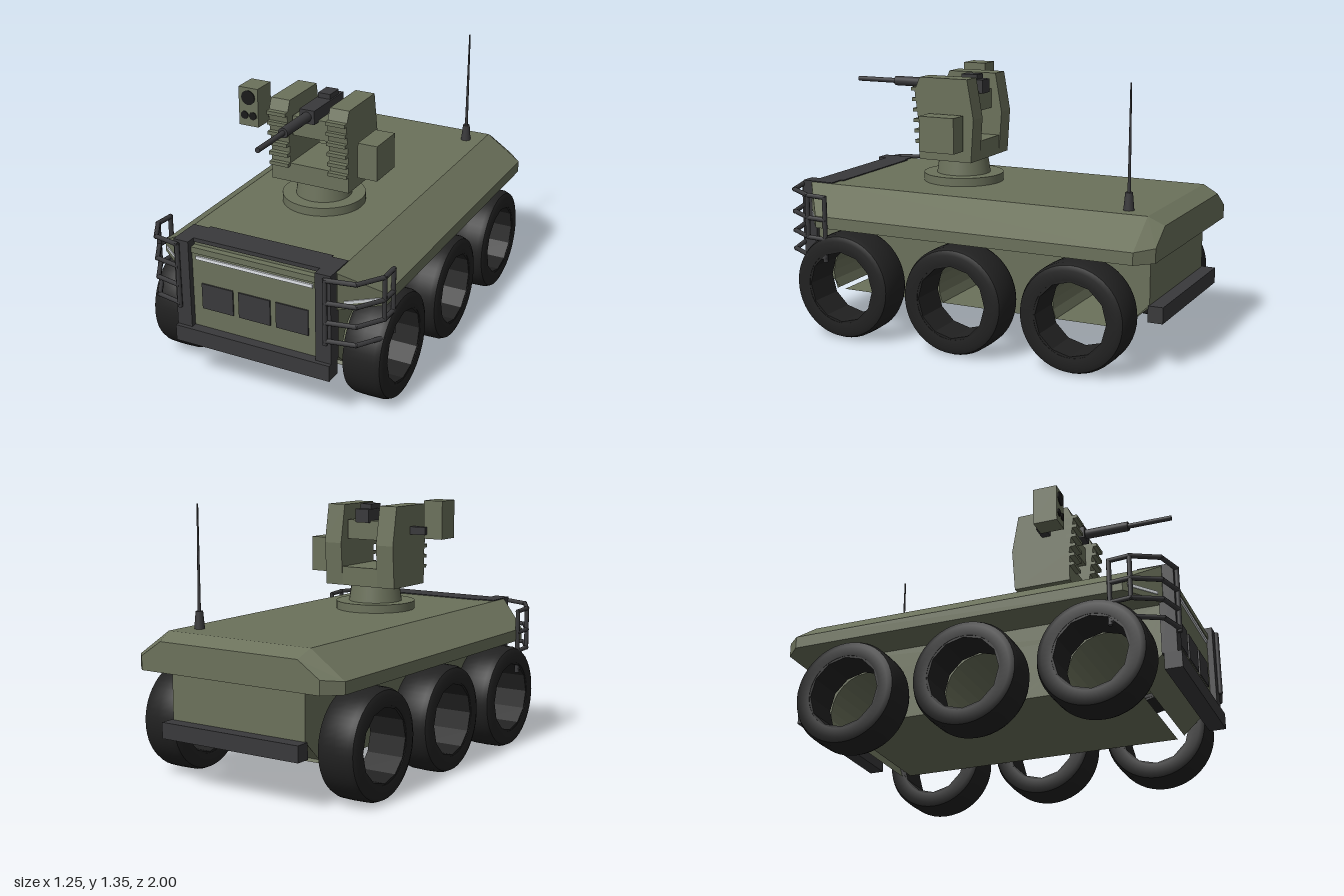
import * as THREE from 'three';
import { toCreasedNormals } from 'three/addons/utils/BufferGeometryUtils.js';

const mat = (name, color) => new THREE.MeshStandardMaterial({ name, color });

export function createModel() {
  const green = mat('olive green', 0x6b715b);
  const belly = mat('belly green', 0x6b715b);
  belly.side = THREE.DoubleSide;
  const dark = mat('dark grey', 0x39393b);
  const rubber = mat('tyre rubber', 0x212121);
  const black = mat('lens black', 0x1a1a1a);
  const lamp = mat('lamp glass', 0xe0e4e8);
  const model = new THREE.Group();

  const add = (name, geo, material, x = 0, y = 0, z = 0, parent = model) => {
    const m = new THREE.Mesh(geo, material);
    m.name = name;
    m.position.set(x, y, z);
    parent.add(m);
    return m;
  };
  // Box given by its minimum and maximum on each axis
  const box = (name, material, x0, x1, y0, y1, z0, z1) =>
    add(name, new THREE.BoxGeometry(x1 - x0, y1 - y0, z1 - z0), material,
      (x0 + x1) / 2, (y0 + y1) / 2, (z0 + z1) / 2);
  // Side profile of [z, y] points, extruded from x0 to x1
  const sideExtrude = (name, material, pts, x0, x1) => {
    const shape = new THREE.Shape(pts.map(([z, y]) => new THREE.Vector2(-z, y)));
    const geo = new THREE.ExtrudeGeometry(shape, { depth: x1 - x0, bevelEnabled: false });
    geo.rotateY(Math.PI / 2);
    return add(name, geo, material, x0);
  };
  // Cylinder along z from z0 to z1
  const rod = (name, material, r, x, y, z0, z1) =>
    add(name, new THREE.CylinderGeometry(r, r, z1 - z0, 20).rotateX(Math.PI / 2), material, x, y, (z0 + z1) / 2);

  // Lower hull with a round axle opening behind each wheel, closed below by a belly plate
  const axles = [-0.625, 0, 0.625], axleY = 0.272, bottom = 0.19, archR = 0.19;
  const startAngle = Math.asin((bottom - axleY) / archR);
  const hullProfile = [[0.72, 0.19], [0.92, 0.33], [0.92, 0.57], [-0.93, 0.57], [-0.93, 0.32], [-0.765, 0.21]];
  for (const z of axles)
    for (let i = 0; i <= 16; i++) {
      const a = Math.PI - startAngle + (2 * startAngle - Math.PI) * (i / 16);
      hullProfile.push([z + archR * Math.cos(a), axleY + archR * Math.sin(a)]);
    }
  // The rear and front openings run into the sloping ends, so the slopes start at their edges
  hullProfile[0] = [0.785, 0.205];
  hullProfile[5] = [-0.79, 0.205];
  sideExtrude('lowerHull', green, hullProfile, -0.39, 0.39);
  add('bellyPlate', new THREE.PlaneGeometry(0.78, 1.5).rotateX(Math.PI / 2), belly, 0, bottom, 0);

  // Upper hull lofted through sections: z, half width, shoulder height, deck half width, deck height
  const sections = [[-1, 0.52, 0.63, 0.4, 0.71], [-0.92, 0.6, 0.62, 0.415, 0.75],
    [0.78, 0.6, 0.62, 0.415, 0.75], [0.92, 0.42, 0.745, 0.415, 0.75]]
    .map(([z, w, s, t, y]) => [[-w, 0.56], [w, 0.56], [w, s], [t, y], [-t, y], [-w, s]]
      .map(([px, py]) => [px, py, z]));
  const pos = [];
  const tri = (a, b, c) => pos.push(...a, ...b, ...c);
  for (let i = 0; i < sections.length - 1; i++) {
    const A = sections[i], B = sections[i + 1];
    for (let j = 0; j < 6; j++) {
      const k = (j + 1) % 6;
      tri(A[j], A[k], B[k]);
      tri(A[j], B[k], B[j]);
    }
  }
  const rear = sections[0], front = sections[3];
  for (let j = 1; j < 5; j++) {
    tri(front[0], front[j], front[j + 1]);
    tri(rear[0], rear[j + 1], rear[j]);
  }
  const hull = new THREE.BufferGeometry();
  hull.setAttribute('position', new THREE.Float32BufferAttribute(pos, 3));
  hull.computeVertexNormals();
  add('upperHull', hull, green);

  // Front panel, frame and bumpers
  box('frontPanel', green, -0.335, 0.335, 0.3, 0.72, 0.9, 0.945);
  box('panelRidge', green, -0.335, 0.335, 0.69, 0.72, 0.94, 0.952);
  box('panelLightBar', lamp, -0.31, 0.31, 0.66, 0.677, 0.945, 0.954);
  for (const x of [-0.2, 0, 0.2]) box('frontVent', dark, x - 0.085, x + 0.085, 0.405, 0.537, 0.945, 0.952);
  box('frontTopPlate', dark, -0.415, 0.415, 0.735, 0.755, 0.8, 0.925);
  box('frontTopLip', dark, -0.33, 0.33, 0.74, 0.755, 0.785, 0.8);
  box('frontBumper', dark, -0.415, 0.415, 0.22, 0.302, 0.91, 0.995);
  box('rearBumper', dark, -0.4, 0.4, 0.24, 0.32, -1, -0.925);

  // Mirrored frame pillars, corner lights and brush guards
  for (const s of [-1, 1]) {
    box('framePillar', dark, s * 0.375 - 0.04, s * 0.375 + 0.04, 0.3, 0.755, 0.9, 0.975);
    const light = add('cornerLight', new THREE.BoxGeometry(0.17, 0.015, 0.008), lamp, s * 0.511, 0.595, 0.85);
    light.rotation.y = s * Math.atan2(0.14, 0.18);

    const guard = new THREE.Group();
    guard.name = 'brushGuard';
    model.add(guard);
    const plan = [[0.39, 0.985], [0.53, 0.95], [0.608, 0.82], [0.605, 0.72]];
    const bar = (a, b) => {
      const d = b.clone().sub(a);
      const m = add('guardBar', new THREE.CylinderGeometry(0.012, 0.012, d.length() + 0.012, 8), dark, 0, 0, 0, guard);
      m.position.copy(a).add(b).multiplyScalar(0.5);
      m.quaternion.setFromUnitVectors(new THREE.Vector3(0, 1, 0), d.normalize());
    };
    // Rails drop slightly toward the rear
    const at = (i, y) => new THREE.Vector3(s * plan[i][0], y - i * 0.005, plan[i][1]);
    for (const y of [0.735, 0.62, 0.52, 0.425])
      for (let i = 0; i < 3; i++) bar(at(i, y), at(i + 1, y));
    for (const i of [0, 2, 3]) bar(at(i, i === 2 ? 0.52 : 0.41), at(i, 0.735));
  }

  // Six wheels: smooth tyre around an open twelve-sided rim
  const profile = [[0.186, -0.1], [0.235, -0.104], [0.258, -0.094], [0.268, -0.07], [0.27, 0],
    [0.268, 0.07], [0.258, 0.094], [0.235, 0.104], [0.186, 0.1], [0.186, -0.1]];
  const rimProfile = [[0.18, -0.098], [0.205, -0.098], [0.205, 0.098], [0.18, 0.098], [0.18, -0.098]];
  const ring = (pts, sides, crease) => toCreasedNormals(
    new THREE.LatheGeometry(pts.map(([r, h]) => new THREE.Vector2(r, h)), sides), crease).rotateZ(Math.PI / 2);
  const tyreGeo = ring(profile, 48, 0.7), rimGeo = ring(rimProfile, 12, 0.1);
  for (const x of [-0.52, 0.52])
    for (const z of axles) {
      const wheel = new THREE.Group();
      wheel.name = 'wheel';
      wheel.position.set(x, 0.272, z);
      model.add(wheel);
      add('tyre', tyreGeo, rubber, 0, 0, 0, wheel);
      add('rim', rimGeo, rubber, 0, 0, 0, wheel);
    }

  // Turret ring, neck and yoke
  add('turretRing', new THREE.CylinderGeometry(0.207, 0.207, 0.045, 40), green, 0, 0.77, 0.25);
  add('turretNeck', new THREE.CylinderGeometry(0.125, 0.14, 0.1, 32), green, 0, 0.84, 0.25);
  box('yokeBase', green, -0.11, 0.11, 0.88, 0.977, 0.1, 0.395);
  for (const s of [-1, 1]) {
    const x0 = s > 0 ? 0.108 : -0.21;
    sideExtrude('yokeArm', green, [[0.395, 0.88], [0.395, 1.04], [0.42, 1.23], [0.39, 1.3],
      [0.12, 1.3], [0.085, 1.1], [0.1, 0.88]], x0, x0 + 0.102);
    for (let i = 0; i < 6; i++) {
      const y = 0.97 + i * 0.0535;
      box('armSlat', green, x0, x0 + 0.102, y - 0.009, y + 0.009, 0.38, 0.42 + i * 0.004);
    }
  }

  // Gun on its cradle
  box('gunCradle', green, -0.1, 0.1, 1.12, 1.22, 0.14, 0.38);
  box('gunReceiver', dark, -0.04, 0.04, 1.21, 1.28, 0.12, 0.42);
  box('gunCover', dark, -0.033, 0.033, 1.28, 1.305, 0.155, 0.245);
  rod('barrelJacket', dark, 0.025, 0, 1.245, 0.42, 0.65);
  rod('barrel', dark, 0.013, 0, 1.245, 0.65, 0.88);

  // Sensor head and its arm
  box('sensorArm', dark, -0.3, -0.2, 1.15, 1.19, 0.25, 0.295);
  box('sensorHousing', green, -0.39, -0.283, 1.13, 1.327, 0.27, 0.395);
  for (const [x, y, r] of [[-0.336, 1.277, 0.037], [-0.358, 1.185, 0.02], [-0.312, 1.185, 0.02]])
    rod('sensorLens', black, r, x, y, 0.393, 0.4);

  // Ammunition box
  box('ammoBox', green, 0.225, 0.328, 0.94, 1.12, 0.135, 0.33);

  // Antenna
  add('antennaBase', new THREE.CylinderGeometry(0.018, 0.026, 0.085, 16), dark, 0.33, 0.793, -0.795);
  add('antennaMast', new THREE.CylinderGeometry(0.004, 0.008, 0.52, 10), dark, 0.33, 1.09, -0.795);

  return model;
}
